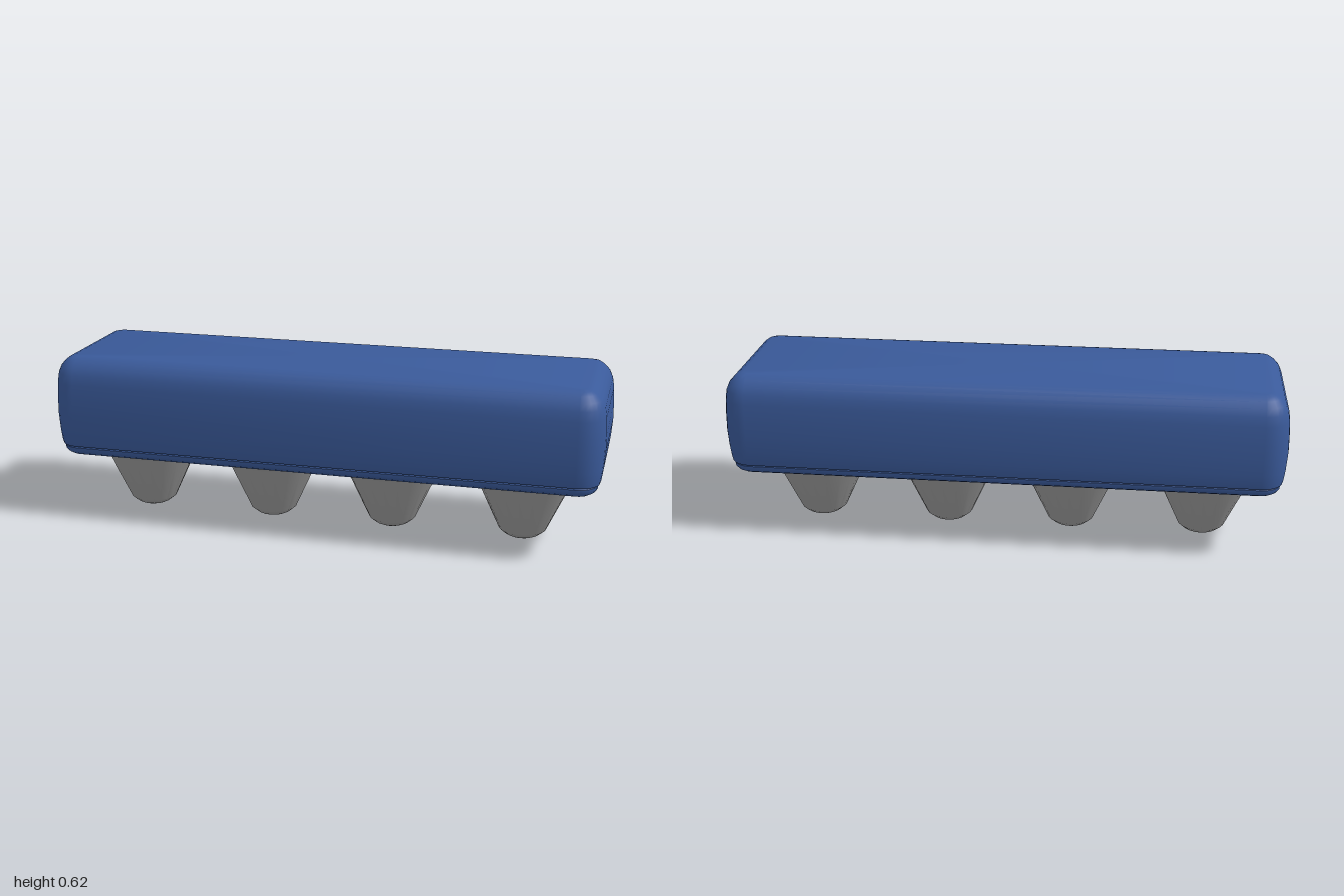
import * as THREE from 'three';
import { toCreasedNormals } from 'three/addons/utils/BufferGeometryUtils.js';

const HALF_X = 1.0, HALF_Z = 0.287, CORNER_STEPS = 6;

// Rounded rectangle outline, inset from the widest plan of the body
function ring(y, inset) {
  const r = Math.max(0.025, 0.09 - inset), pts = [];
  const cx = HALF_X - inset - r, cz = HALF_Z - inset - r;
  [[1, 1], [-1, 1], [-1, -1], [1, -1]].forEach(([sx, sz], q) => {
    for (let i = 0; i <= CORNER_STEPS; i++) {
      const a = (q + i / CORNER_STEPS) * Math.PI / 2;
      pts.push([sx * cx + r * Math.cos(a), y, sz * cz + r * Math.sin(a)]);
    }
  });
  return pts;
}

// Closed loft through [y, inset] levels, listed from bottom to top
function loft(levels, crease) {
  const rings = levels.map(([y, inset]) => ring(y, inset));
  const n = rings[0].length, last = rings.length - 1;
  const position = rings.flat(2), index = [];
  for (let k = 0; k < last; k++) {
    for (let i = 0; i < n; i++) {
      const j = (i + 1) % n, a = k * n + i, b = k * n + j;
      index.push(a, a + n, b, b, a + n, b + n);
    }
  }
  // Flat caps
  const bottom = position.length / 3, top = bottom + 1;
  position.push(0, levels[0][0], 0, 0, levels[last][0], 0);
  for (let i = 0; i < n; i++) {
    const j = (i + 1) % n;
    index.push(bottom, i, j, top, last * n + j, last * n + i);
  }
  const g = new THREE.BufferGeometry();
  g.setAttribute('position', new THREE.Float32BufferAttribute(position, 3));
  g.setIndex(index);
  return toCreasedNormals(g, crease);
}

export function createModel() {
  const group = new THREE.Group();
  const blue = new THREE.MeshStandardMaterial({ color: 0x3a5a9a });
  blue.name = 'blue upholstery';
  const grey = new THREE.MeshStandardMaterial({ color: 0x9c9c9c });
  grey.name = 'grey legs';

  const add = (name, geometry, material, x = 0) => {
    const mesh = new THREE.Mesh(geometry, material);
    mesh.name = name;
    mesh.position.x = x;
    group.add(mesh);
  };

  // Padded block with softened shoulders
  add('cushion', loft([
    [0.283, 0.03], [0.285, 0.013], [0.3, 0.009], [0.34, 0.004], [0.4, 0],
    [0.46, 0.001], [0.52, 0.004], [0.555, 0.01], [0.58, 0.021], [0.6, 0.039],
    [0.611, 0.055], [0.616, 0.072],
  ], 0.7), blue);

  // Slim base tray, separated from the cushion by a narrow seam
  add('baseTray', loft([
    [0.233, 0.1], [0.238, 0.07], [0.246, 0.045], [0.256, 0.028],
    [0.266, 0.02], [0.278, 0.019], [0.284, 0.024], [0.288, 0.035],
  ], 0.7), blue);

  // Tapered feet flaring into the tray
  const profile = [
    [0, 0], [0.052, 0], [0.064, 0.006], [0.086, 0.024], [0.172, 0.212],
    [0.18, 0.224], [0.193, 0.231], [0.212, 0.235],
  ].map(([r, y]) => new THREE.Vector2(r, y));
  const foot = toCreasedNormals(new THREE.LatheGeometry(profile, 20), 0.5);
  [-0.72, -0.235, 0.225, 0.71].forEach((x, i) => add('foot' + (i + 1), foot, grey, x));

  return group;
}
